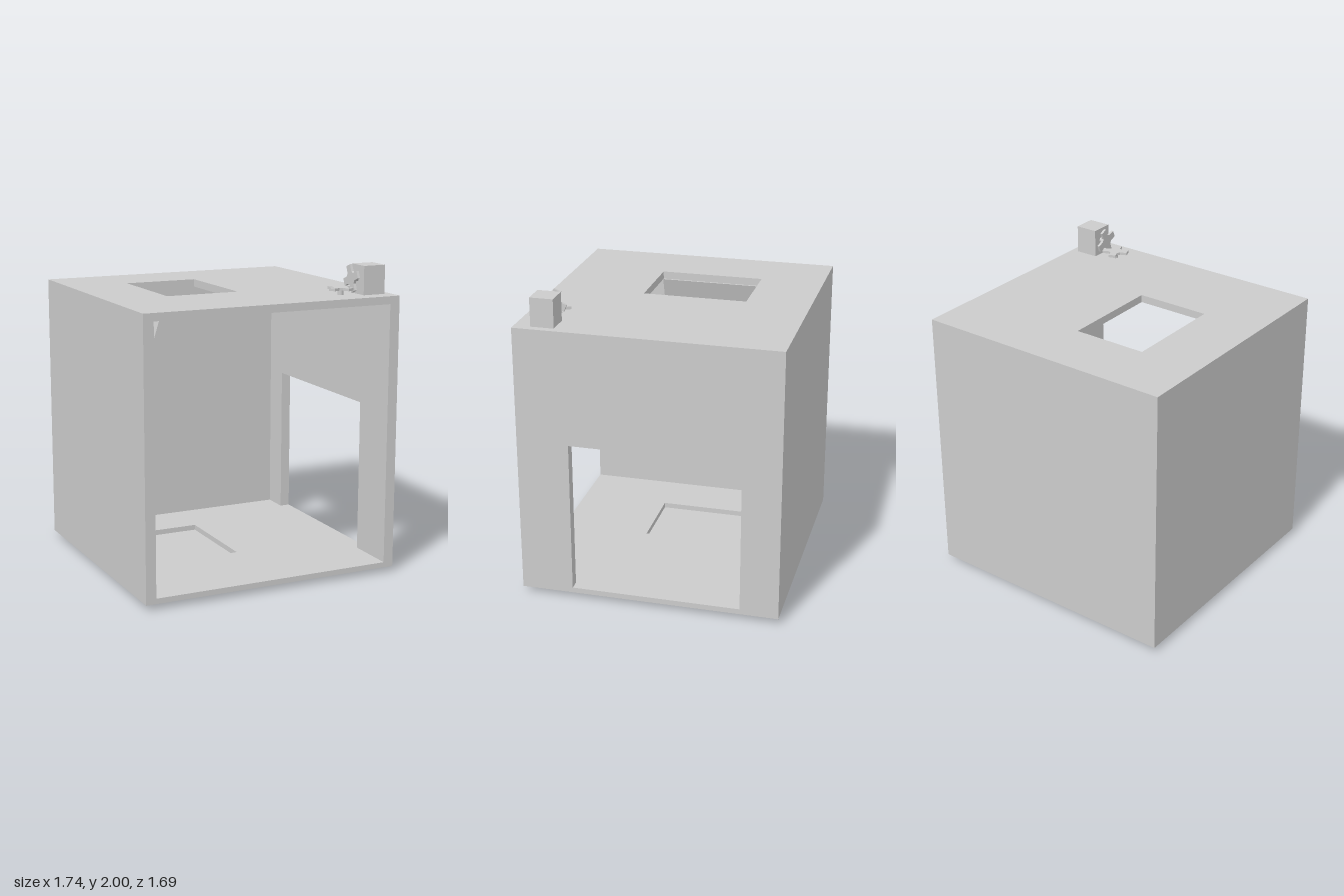
import * as THREE from 'three';

const material = new THREE.MeshStandardMaterial({ color: 0xcccccc, flatShading: true });

function add(group, name, geometry) {
  const mesh = new THREE.Mesh(geometry, material);
  mesh.name = name;
  group.add(mesh);
  return mesh;
}

// Box given by its limits on each axis
function block(group, name, [x0, x1], [y0, y1], [z0, z1]) {
  const geometry = new THREE.BoxGeometry(x1 - x0, y1 - y0, z1 - z0);
  geometry.translate((x0 + x1) / 2, (y0 + y1) / 2, (z0 + z1) / 2);
  return add(group, name, geometry);
}

function corners([a0, a1], [b0, b1]) {
  return [[a0, b0], [a1, b0], [a1, b1], [a0, b1]].map(([a, b]) => new THREE.Vector2(a, b));
}

// Flat panel with a rectangular opening, extruded along +z
function panelWithOpening(a, b, holeA, holeB, depth) {
  const shape = new THREE.Shape(corners(a, b));
  shape.holes.push(new THREE.Path(corners(holeA, holeB).reverse()));
  return new THREE.ExtrudeGeometry(shape, { depth, bevelEnabled: false });
}

// Four-toothed wheel with chamfered notches, centred on its axis (z)
function toothedWheel(angle, thickness) {
  const tip = 0.086, half = 0.024, root = 0.04;
  const points = [];
  for (let i = 0; i < 4; i++) {
    for (const [u, v] of [[root, -half], [tip, -half], [tip, half], [root, half]]) {
      points.push(new THREE.Vector2(u, v).rotateAround(new THREE.Vector2(), angle + i * Math.PI / 2));
    }
  }
  const geometry = new THREE.ExtrudeGeometry(new THREE.Shape(points), { depth: thickness, bevelEnabled: false });
  return geometry.translate(0, 0, -thickness / 2);
}

export function createModel() {
  const model = new THREE.Group();
  model.name = 'openCabinet';

  const X = 0.87, Z = 0.843, inner = 0.803, backInner = -0.77;
  const bottom = 0.035, floorTop = 0.07, ceiling = 1.765, top = 1.815;
  const hatchX = [-0.46, 0.03], hatchZ = [-0.428, 0.247];

  // Housing: roof and floor with matching hatches, front left open
  add(model, 'roof', panelWithOpening([-X, X], [-Z, Z], hatchX, hatchZ, top - ceiling)
    .rotateX(Math.PI / 2).translate(0, top, 0));
  add(model, 'floor', panelWithOpening([-X, X], [-Z, Z], hatchX, hatchZ, floorTop - bottom)
    .rotateX(Math.PI / 2).translate(0, floorTop, 0));
  block(model, 'rightWall', [-X, -inner], [floorTop, ceiling], [-Z, Z]);
  block(model, 'backWall', [-inner, inner], [floorTop, ceiling], [-Z, backInner]);

  // Left wall with a doorway reaching down to the floor
  const wall = new THREE.Shape([
    [-Z, floorTop], [-0.595, floorTop], [-0.595, 1.07], [0.505, 1.07],
    [0.505, floorTop], [Z, floorTop], [Z, ceiling], [-Z, ceiling],
  ].map(([z, y]) => new THREE.Vector2(z, y)));
  add(model, 'leftWall', new THREE.ExtrudeGeometry(wall, { depth: X - inner, bevelEnabled: false })
    .rotateY(-Math.PI / 2).translate(X, 0, 0));

  // Plate closing the floor hatch from below
  block(model, 'hatchPlate', hatchX, [0, bottom], hatchZ);

  // Slanted flap hanging under the roof hatch
  const flap = new THREE.Shape([[-0.627, 1.315], [-0.591, 1.303], [-0.447, ceiling], [-0.485, ceiling]]
    .map(([x, y]) => new THREE.Vector2(x, y)));
  add(model, 'slantedFlap', new THREE.ExtrudeGeometry(flap, { depth: hatchZ[1] - hatchZ[0], bevelEnabled: false })
    .translate(0, 0, hatchZ[0]));

  // Drive on the roof: motor, shaft and two meshing toothed wheels
  const drive = new THREE.Group();
  drive.name = 'drive';
  model.add(drive);
  const tilt = THREE.MathUtils.degToRad(22), axisY = 1.915, axisZ = 0.655, spindleX = 0.55;
  block(drive, 'motor', [0.671, 0.823], [top, 2], [0.587, 0.737]);
  add(drive, 'motorShaft', new THREE.CylinderGeometry(0.019, 0.019, 0.05, 24)
    .rotateZ(Math.PI / 2).translate(0.65, axisY, axisZ));
  add(drive, 'uprightWheel', toothedWheel(tilt, 0.017)
    .rotateY(-Math.PI / 2).translate(0.63, axisY, axisZ));
  add(drive, 'flatWheel', toothedWheel(-tilt, 0.017)
    .rotateX(Math.PI / 2).translate(spindleX, 1.856, axisZ));
  add(drive, 'spindle', new THREE.CylinderGeometry(0.019, 0.019, 0.035, 24)
    .translate(spindleX, top + 0.0175, axisZ));

  return model;
}
